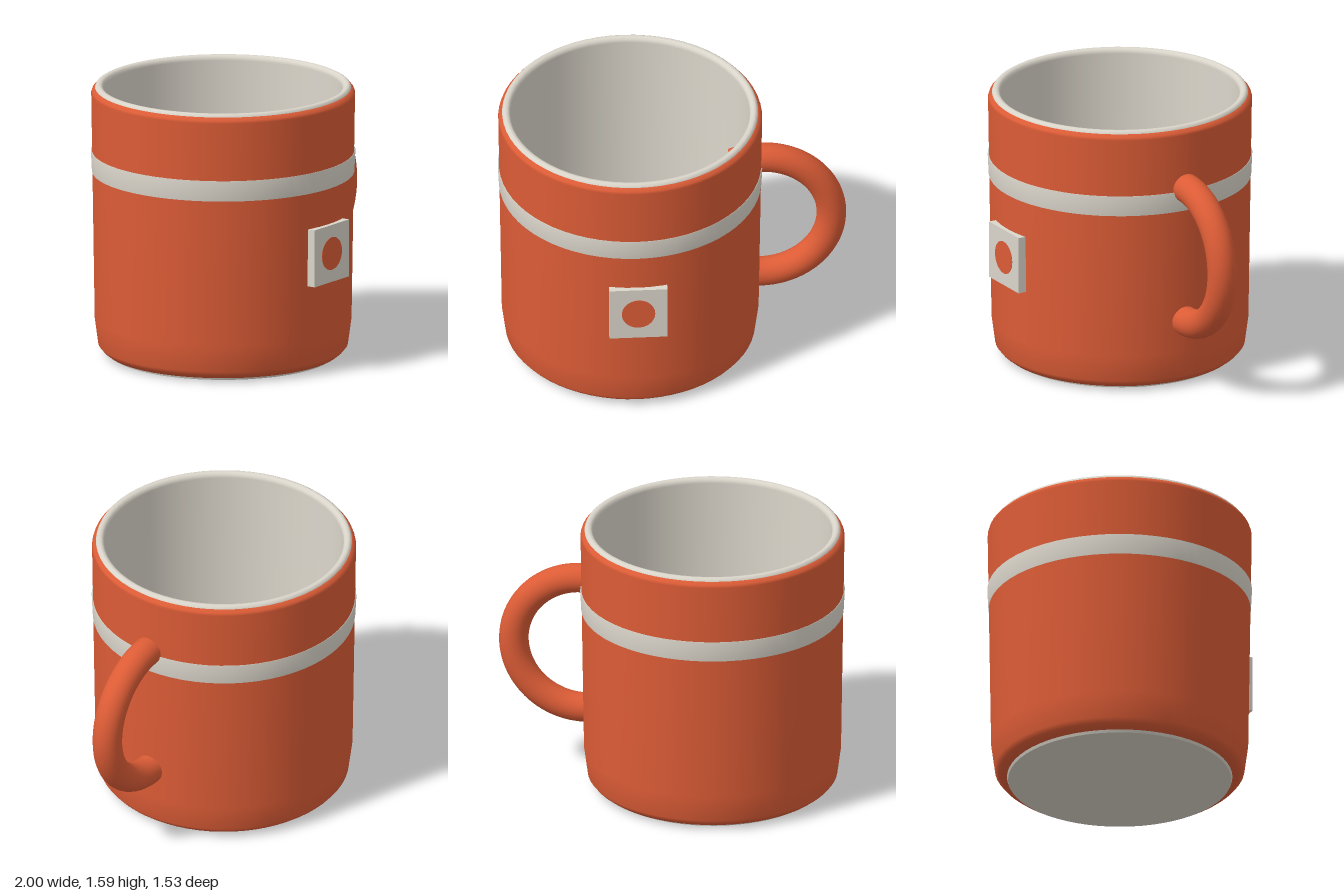
import * as THREE from 'three';

export function createModel() {
  const model = new THREE.Group();
  const orange = new THREE.MeshStandardMaterial({ color: 0xdc5c36 });
  orange.name = 'orange glaze';
  const cream = new THREE.MeshStandardMaterial({ color: 0xdbd6cb });
  cream.name = 'cream glaze';

  // Cup axis is offset so that cup and handle together are centred
  const cup = new THREE.Group();
  cup.name = 'cup';
  cup.position.set(-0.241, 0, -0.006);
  model.add(cup);

  const add = (parent, name, geometry, material, x = 0, y = 0, z = 0) => {
    const mesh = new THREE.Mesh(geometry, material);
    mesh.name = name;
    mesh.position.set(x, y, z);
    parent.add(mesh);
    return mesh;
  };
  const lathe = (points) =>
    new THREE.LatheGeometry(points.map(([r, y]) => new THREE.Vector2(r, y)), 64);

  // Outer wall with a bevelled foot and lip
  add(cup, 'outerWall', lathe([
    [0.62, 0.015], [0.668, 0.017], [0.695, 0.038], [0.716, 0.064], [0.737, 0.22],
    [0.757, 1.54], [0.752, 1.555], [0.733, 1.573], [0.70, 1.573],
  ]), orange);

  // Rounded rim running down into the inner wall and floor
  add(cup, 'rimAndInside', lathe([
    [0.735, 1.57], [0.73, 1.583], [0.718, 1.59], [0.702, 1.588], [0.69, 1.578],
    [0.685, 1.56], [0.672, 0.22], [0.655, 0.13], [0.62, 0.10], [0, 0.10],
  ]), cream);

  // Foot disc
  add(cup, 'foot', new THREE.CylinderGeometry(0.648, 0.64, 0.02, 64), cream, 0, 0.01, 0);

  // Stripe around the wall
  add(cup, 'stripe', lathe([
    [0.745, 1.08], [0.753, 1.08], [0.759, 1.20], [0.745, 1.20],
  ]), cream);

  // Handle: a ring section whose ends pass through the wall
  const handle = new THREE.Group();
  handle.name = 'handle';
  handle.position.set(0.51, 0.81, -0.006);
  model.add(handle);
  const ringRadius = 0.405, tubeRadius = 0.085, arc = Math.PI * 1.25;
  add(handle, 'handleRing', new THREE.TorusGeometry(ringRadius, tubeRadius, 24, 64, arc), orange)
    .rotation.z = -arc / 2;
  for (const side of [1, -1]) {
    const a = side * arc / 2;
    const cap = add(handle, 'handleEnd', new THREE.CircleGeometry(tubeRadius, 24), orange,
      Math.cos(a) * ringRadius, Math.sin(a) * ringRadius, 0);
    cap.lookAt(cap.position.clone().add(
      new THREE.Vector3(-Math.sin(a) * side, Math.cos(a) * side, 0)));
    // lookAt aimed in local space, since the handle is not rotated
    cap.quaternion.setFromUnitVectors(new THREE.Vector3(0, 0, 1),
      new THREE.Vector3(-Math.sin(a) * side, Math.cos(a) * side, 0));
  }

  // Square badge with a round dot
  add(cup, 'badge', new THREE.BoxGeometry(0.334, 0.336, 0.07), cream, 0, 0.702, 0.738);
  add(cup, 'badgeDot', new THREE.CylinderGeometry(0.096, 0.096, 0.004, 40), orange, 0, 0.702, 0.773)
    .rotation.x = Math.PI / 2;

  return model;
}
